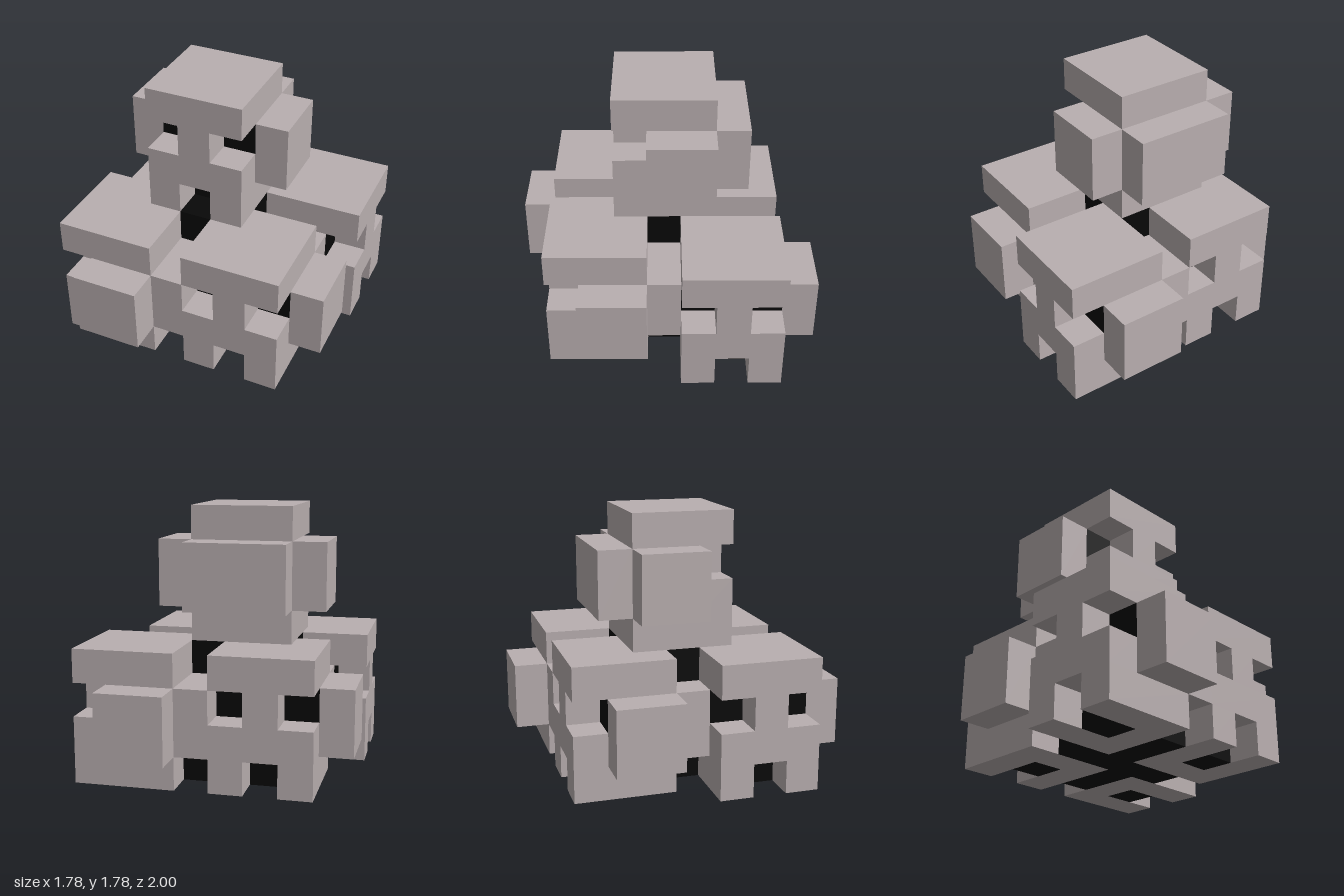
import * as THREE from 'three';

const U = 2 / 9; // one block

export function createModel() {
  const bone = new THREE.MeshStandardMaterial({ color: 0xb9afb0 });
  bone.name = 'bone';
  const dark = new THREE.MeshStandardMaterial({ color: 0x080808 });
  dark.name = 'dark';

  // Box given by its limits in blocks
  function block(parent, name, mat, [x0, x1], [y0, y1], [z0, z1]) {
    const geo = new THREE.BoxGeometry((x1 - x0) * U, (y1 - y0) * U, (z1 - z0) * U);
    const mesh = new THREE.Mesh(geo, mat);
    mesh.position.set((x0 + x1) / 2 * U, (y0 + y1) / 2 * U, (z0 + z1) / 2 * U);
    mesh.name = name;
    parent.add(mesh);
  }

  // One blocky skull facing +z, standing on y = 0
  function skull(name, x, y, z, turn) {
    const g = new THREE.Group();
    g.name = name;
    block(g, 'cranium', bone, [-1.5, 1.5], [3, 4], [-1.5, 1.5]);
    block(g, 'nose', bone, [-0.5, 0.5], [2, 3], [0.5, 1.5]);
    block(g, 'cheeks', bone, [-1.5, 1.5], [1, 2], [0.5, 1.5]);
    block(g, 'backOfHead', bone, [-1.5, 1.5], [1, 3], [-2.5, -1.5]);
    for (const s of [-1, 1]) {
      const span = (a, b) => (s > 0 ? [a, b] : [-b, -a]);
      block(g, 'temple', bone, span(1.5, 2.5), [1, 3], [-1.5, 0.5]);
      block(g, 'jaw', bone, span(0.5, 1.5), [0, 1], [-1.5, 1.5]);
    }
    block(g, 'jawBack', bone, [-0.5, 0.5], [0, 1], [-1.5, -0.5]);
    // dark inside, seen through the eyes and mouth
    block(g, 'eyeCavity', dark, [-1.5, 1.5], [1, 3], [-1.5, 0.5]);
    block(g, 'mouthCavity', dark, [-0.5, 0.5], [0, 1], [-0.5, 0.5]);
    g.position.set(x * U, y * U, z * U);
    g.rotation.y = turn * Math.PI / 2;
    return g;
  }

  const model = new THREE.Group();
  model.name = 'skullPile';
  model.add(
    skull('frontLeftSkull', 1.5, 0, 2, 0),
    skull('backLeftSkull', 2.5, 0, -2, 1),
    skull('backRightSkull', -1.5, 0, -2, 2),
    skull('frontRightSkull', -2.5, 0, 2, 3),
    skull('topSkull', -0.5, 4, 0, 0),
  );

  // Dark filling in the gaps between the skulls
  block(model, 'upperFilling', dark, [-2, 1], [3, 4], [-1.5, 1.5]);
  block(model, 'crossFilling', dark, [-2, 2], [0, 1], [-0.5, 0.5]);
  block(model, 'frontFilling', dark, [-1, 0], [0, 1], [0.5, 2.5]);
  block(model, 'backFilling', dark, [0, 1], [0, 1], [-2.5, -0.5]);
  return model;
}
